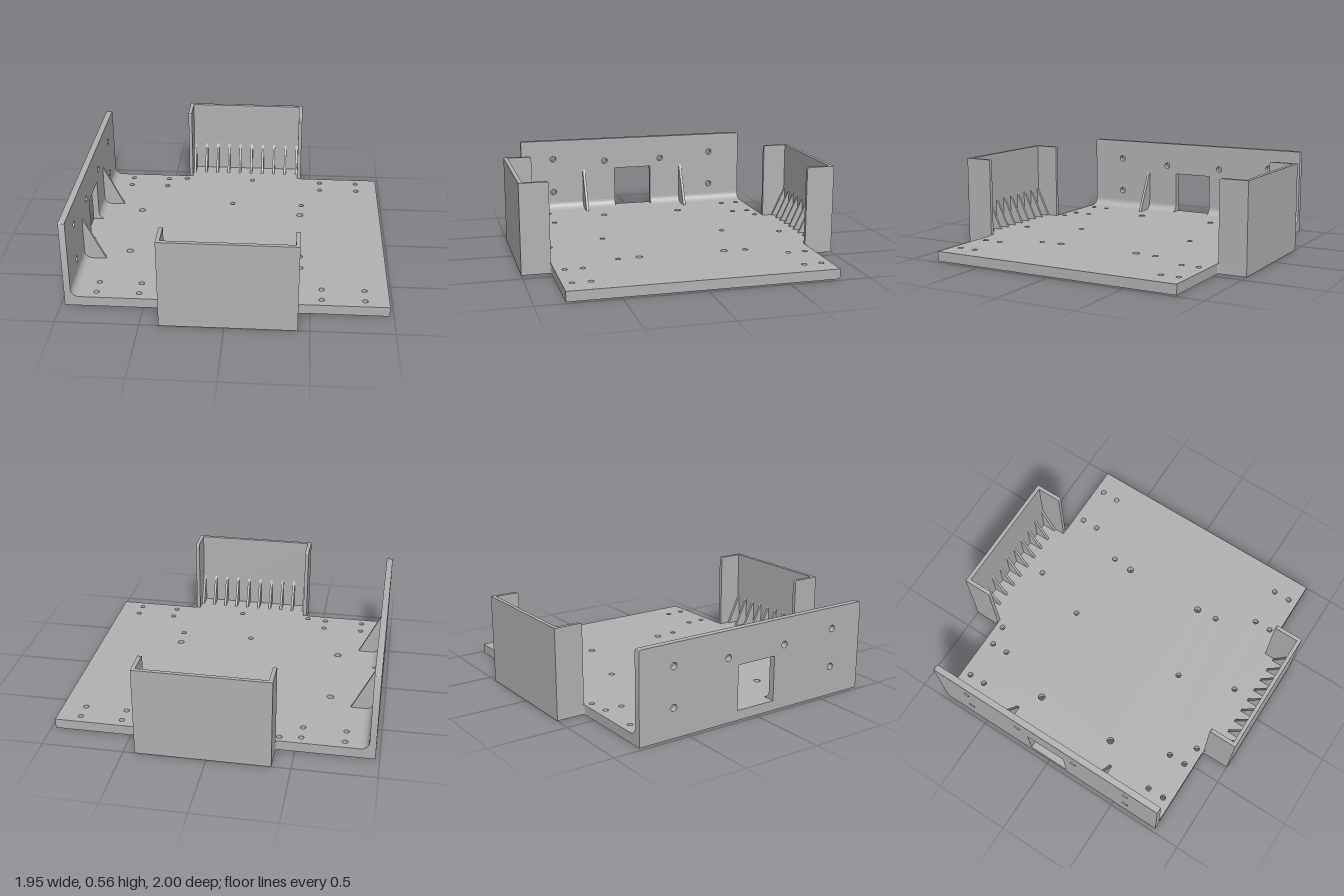
import * as THREE from 'three';
import { toCreasedNormals } from 'three/addons/utils/BufferGeometryUtils.js';

const FLOOR = 0.062, TOP = 0.565, HALF_X = 0.975, HALF_Z = 0.82;
const BAY_X = 0.0225, BAY_HALF = 0.4075, WALL_X = -0.935, SKIN = 0.024;

const grey = new THREE.MeshStandardMaterial({ color: 0xb2b2b2 });
grey.name = 'matte grey';

function polygon(points) {
  return new THREE.Shape(points.map(([x, y]) => new THREE.Vector2(x, y)));
}

function drill(shape, x, y, r) {
  const hole = new THREE.Path();
  hole.absarc(x, y, r, 0, Math.PI * 2, true);
  shape.holes.push(hole);
}

function extrude(shape, depth) {
  return new THREE.ExtrudeGeometry(shape, { depth, bevelEnabled: false, curveSegments: 10 });
}

function add(parent, name, geometry) {
  const mesh = new THREE.Mesh(toCreasedNormals(geometry, 0.6), grey);
  mesh.name = name;
  parent.add(mesh);
  return mesh;
}

// Turns a (z, y) profile so that its thickness runs along x, from x0 to x0 + depth
function sidePlate(shape, depth, x0) {
  return extrude(shape, depth).rotateY(-Math.PI / 2).translate(x0 + depth, 0, 0);
}

// Base plate with a tab at each end, small fillets in the inner corners, and screw holes
function buildFloor(parent) {
  const l = BAY_X - BAY_HALF, r = BAY_X + BAY_HALF, f = 0.02;
  const s = new THREE.Shape();
  s.moveTo(-HALF_X, -HALF_Z);
  s.lineTo(l - f, -HALF_Z);
  s.quadraticCurveTo(l, -HALF_Z, l, -HALF_Z - f);
  s.lineTo(l, -1);
  s.lineTo(r, -1);
  s.lineTo(r, -HALF_Z - f);
  s.quadraticCurveTo(r, -HALF_Z, r + f, -HALF_Z);
  s.lineTo(HALF_X, -HALF_Z);
  s.lineTo(HALF_X, HALF_Z);
  s.lineTo(r + f, HALF_Z);
  s.quadraticCurveTo(r, HALF_Z, r, HALF_Z + f);
  s.lineTo(r, 1);
  s.lineTo(l, 1);
  s.lineTo(l, HALF_Z + f);
  s.quadraticCurveTo(l, HALF_Z, l - f, HALF_Z);
  s.lineTo(-HALF_X, HALF_Z);
  s.closePath();
  for (const side of [-1, 1]) {
    for (const x of [-0.79, -0.53, 0.57, 0.83])
      for (const z of [0.65, 0.76]) drill(s, x, side * z, 0.017);
    for (const [x, z, rad] of [[-0.4, 0.775, 0.017], [0.08, 0.775, 0.017], [-0.04, 0.41, 0.017],
      [0.44, 0.41, 0.017], [-0.66, 0.273, 0.022], [0.43, 0.273, 0.022]]) drill(s, x, side * z, rad);
  }
  add(parent, 'floorPlate', extrude(s, FLOOR).rotateX(-Math.PI / 2));
}

// Tall side panel with a cable window, screw holes, base fillet and two gussets
function buildSidePanel(parent) {
  const w = 0.135, windowTop = 0.343, c = 0.015;
  const s = polygon([[-HALF_Z, FLOOR], [-w, FLOOR], [-w, windowTop], [w, windowTop], [w, FLOOR], [HALF_Z, FLOOR]]);
  s.lineTo(HALF_Z, TOP - c);
  s.quadraticCurveTo(HALF_Z, TOP, HALF_Z - c, TOP);
  s.lineTo(-HALF_Z + c, TOP);
  s.quadraticCurveTo(-HALF_Z, TOP, -HALF_Z, TOP - c);
  s.closePath();
  for (const side of [-1, 1])
    for (const [z, y] of [[0.59, 0.43], [0.59, 0.185], [0.21, 0.4]]) drill(s, side * z, y, 0.021);
  add(parent, 'sidePanel', sidePlate(s, WALL_X + HALF_X, -HALF_X));

  const r = 0.05;
  const fillet = new THREE.Shape();
  fillet.moveTo(WALL_X, FLOOR);
  fillet.lineTo(WALL_X + r, FLOOR);
  fillet.absarc(WALL_X + r, FLOOR + r, r, -Math.PI / 2, -Math.PI, true);
  fillet.closePath();
  const gusset = polygon([[WALL_X, FLOOR], [-0.797, FLOOR], [WALL_X, 0.343]]);
  for (const side of [-1, 1]) {
    const len = HALF_Z - w;
    add(parent, 'panelFillet', extrude(fillet, len).translate(0, 0, side > 0 ? w : -HALF_Z));
    add(parent, 'panelGusset', extrude(gusset, 0.018).translate(0, 0, side * 0.365 - 0.009));
  }
}

// Three-sided end bay with a row of triangular ribs along its back wall
function buildBay(name) {
  const bay = new THREE.Group();
  bay.name = name;
  const h = TOP - FLOOR, inner = 1 - SKIN, c = 0.015;
  add(bay, 'bayBackWall', new THREE.BoxGeometry(BAY_HALF * 2, h, SKIN)
    .translate(0, FLOOR + h / 2, 1 - SKIN / 2));

  const wing = polygon([[HALF_Z, FLOOR], [inner, FLOOR], [inner, TOP], [HALF_Z + c, TOP]]);
  wing.quadraticCurveTo(HALF_Z, TOP, HALF_Z, TOP - c);
  wing.closePath();
  for (const x0 of [-BAY_HALF, BAY_HALF - SKIN]) add(bay, 'baySideWall', sidePlate(wing, SKIN, x0));

  const rib = polygon([[0.885, FLOOR], [inner, FLOOR], [inner, 0.255]]);
  for (let i = 0; i < 10; i++)
    add(bay, 'bayRib', sidePlate(rib, 0.016, (i - 4.5) * 0.0832 - 0.008));
  bay.position.x = BAY_X;
  return bay;
}

export function createModel() {
  const model = new THREE.Group();
  model.name = 'mountingTray';
  buildFloor(model);
  buildSidePanel(model);
  const front = buildBay('frontBay');
  const back = buildBay('backBay');
  back.rotation.y = Math.PI;
  model.add(front, back);
  return model;
}
